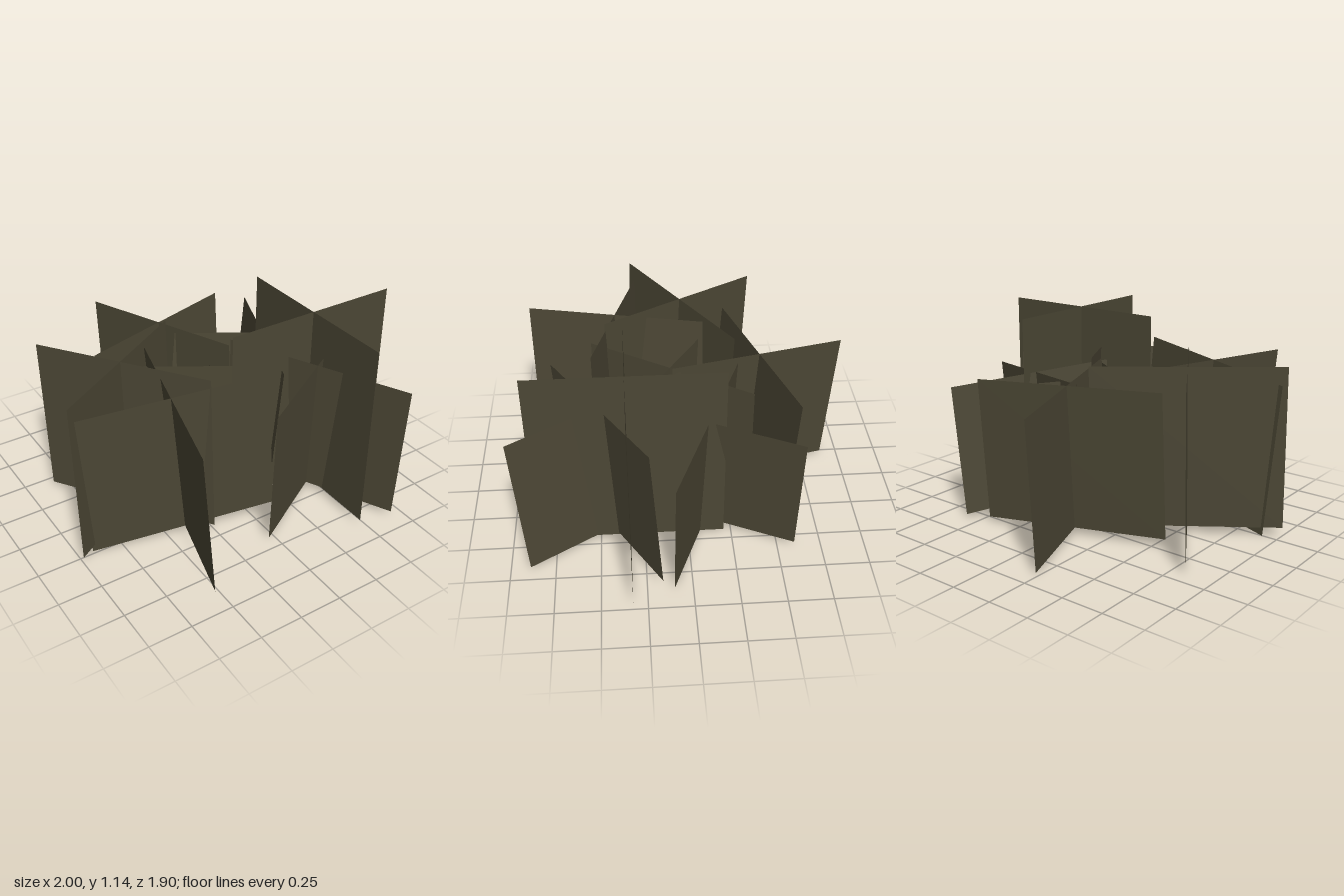
import * as THREE from 'three';

// Each clump: base centre [x, y, z], lean of the top [x, z], height, heading [x, z] of one blade card
const CLUMPS = [
  { base: [0.467, 0.04, 0.33], lean: [0, 0], height: 1.10, heading: [1, 0] },
  { base: [-0.045, 0.04, 0.07], lean: [0, 0], height: 0.79, heading: [0.844, 0.537] },
  { base: [-0.07, 0.046, -0.39], lean: [0, -0.055], height: 0.84, heading: [1.01, -0.325] },
  { base: [-0.555, 0.045, 0.02], lean: [0, -0.037], height: 0.935, heading: [0.9, -0.575] },
  { base: [-0.402, 0.05, 0.372], lean: [-0.074, 0.003], height: 0.885, heading: [1.03, 0.27] },
  { base: [0.377, 0.05, -0.107], lean: [0.077, -0.005], height: 0.765, heading: [0.975, 0.415] },
  { base: [0.417, 0.05, 0.425], lean: [-0.022, 0.058], height: 0.85, heading: [0.93, -0.525] },
];
const WIDTH = 1.066;

export function createModel() {
  const model = new THREE.Group();
  model.name = 'plantPatch';
  const darkOlive = new THREE.MeshStandardMaterial({ color: 0x4c4735, side: THREE.DoubleSide });
  darkOlive.name = 'darkOlive';

  for (const { base, lean, height, heading } of CLUMPS) {
    const clump = new THREE.Group();
    clump.name = 'clump';
    clump.position.set(...base);

    // Lean the whole clump, after turning it to its heading
    const up = new THREE.Vector3(lean[0], height, lean[1]).normalize();
    const yAxis = new THREE.Vector3(0, 1, 0);
    const turn = new THREE.Quaternion().setFromAxisAngle(yAxis, Math.atan2(-heading[1], heading[0]));
    clump.quaternion.setFromUnitVectors(yAxis, up).multiply(turn);

    // Two upright cards crossing at right angles
    const card = new THREE.PlaneGeometry(WIDTH, height).translate(0, height / 2, 0);
    for (let i = 0; i < 2; i++) {
      const mesh = new THREE.Mesh(card, darkOlive);
      mesh.name = i ? 'crossCard' : 'mainCard';
      mesh.rotation.y = i * Math.PI / 2;
      clump.add(mesh);
    }
    model.add(clump);
  }
  return model;
}
